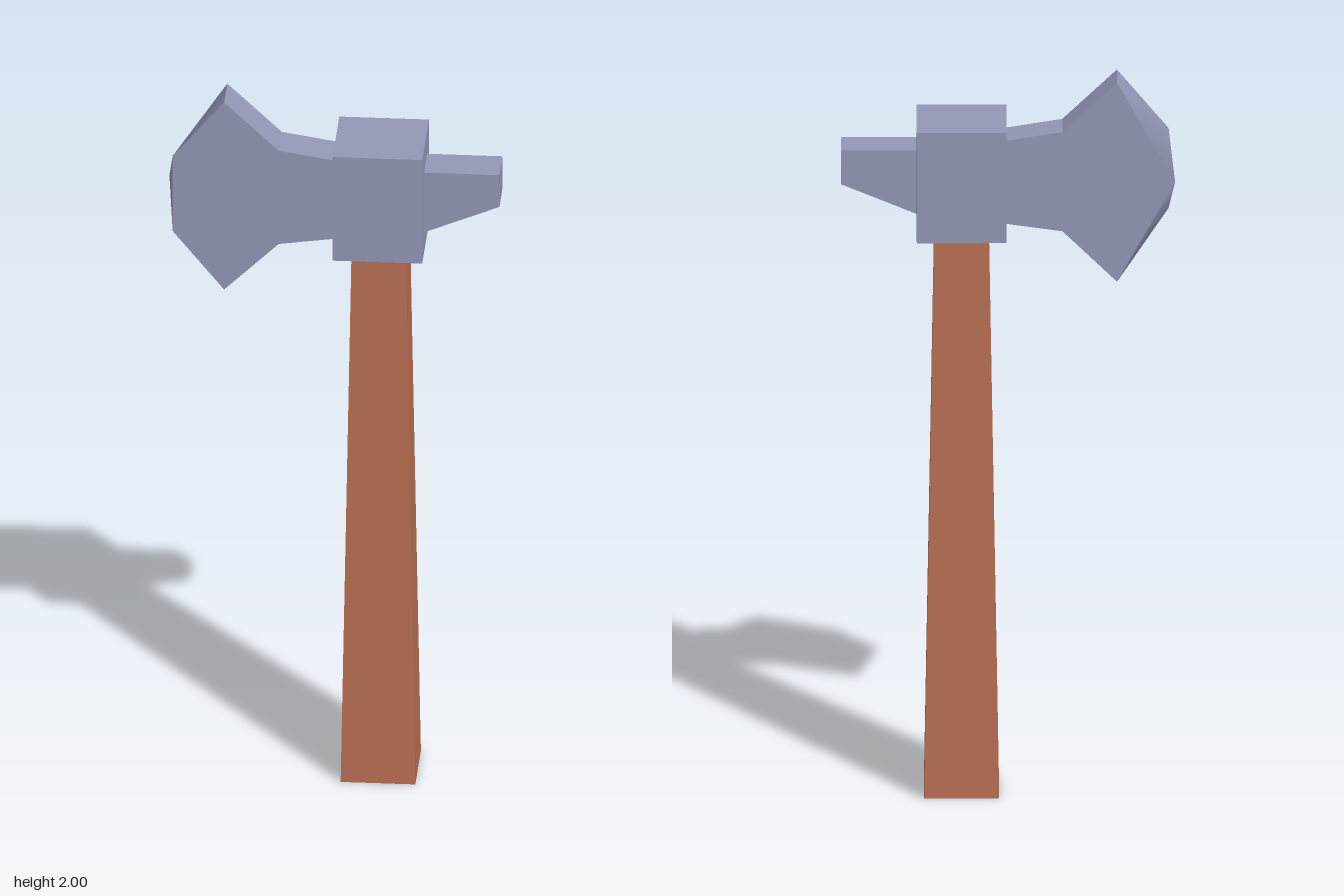
import * as THREE from 'three';

const HALF = 0.056; // half thickness of blade and spike
const CENTRE = 0.123; // x of the handle axis

const steel = new THREE.MeshStandardMaterial({ name: 'steel', color: 0x9297b5 });
const wood = new THREE.MeshStandardMaterial({ name: 'wood', color: 0xb97053 });

function part(name, geometry, material) {
  const mesh = new THREE.Mesh(geometry, material);
  mesh.name = name;
  return mesh;
}

const outline = (points) => new THREE.Shape(points.map(([x, y]) => new THREE.Vector2(x, y)));

// Flat-sided slab, centred on z = 0
function slab(points) {
  const geometry = new THREE.ExtrudeGeometry(outline(points), { depth: HALF * 2, bevelEnabled: false });
  return geometry.translate(0, 0, -HALF);
}

export function createModel() {
  const model = new THREE.Group();
  model.name = 'axe';

  // Square handle, narrowing toward the head
  const handle = new THREE.BoxGeometry(0.2, 1.57, 0.2);
  const pos = handle.attributes.position;
  for (let i = 0; i < pos.count; i++) {
    if (pos.getY(i) > 0) {
      pos.setX(i, pos.getX(i) * 0.73);
      pos.setZ(i, pos.getZ(i) * 0.73);
    }
  }
  const flatHandle = handle.toNonIndexed();
  flatHandle.computeVertexNormals();
  flatHandle.translate(CENTRE, 0.785, 0);
  model.add(part('handle', flatHandle, wood));

  // Block that holds the head on the handle
  const block = new THREE.BoxGeometry(0.24, 0.31, 0.24).translate(CENTRE, 1.725, 0);
  model.add(part('headBlock', block, steel));

  // Tapered spike behind the block
  model.add(part('spike', slab([[0.24, 1.63], [0.445, 1.715], [0.445, 1.81], [0.24, 1.81]]), steel));

  // Flaring neck of the blade
  const top = [-0.292, 2];
  const bottom = [-0.292, 1.44];
  const neck = [[0.01, 1.836], [-0.146, 1.861], top, bottom, [-0.146, 1.582], [0.01, 1.604]];
  model.add(part('bladeNeck', slab(neck), steel));

  // Cheeks: blunt at the front, pointed at the back
  const upper = [-0.43, 1.835];
  const lower = [-0.43, 1.61];
  const tip = [-0.447, 1.72];
  const frontCheek = new THREE.ShapeGeometry(outline([top, upper, lower, bottom])).translate(0, 0, HALF);
  const mirrored = [top, tip, bottom].map(([x, y]) => [-x, y]);
  const backCheek = new THREE.ShapeGeometry(outline(mirrored)).rotateY(Math.PI).translate(0, 0, -HALF);
  model.add(part('bladeFrontCheek', frontCheek, steel));
  model.add(part('bladeBackCheek', backCheek, steel));

  // Smooth cutting edge joining the two cheeks
  const edge = new THREE.BufferGeometry();
  edge.setAttribute('position', new THREE.Float32BufferAttribute([
    ...top, HALF, ...top, -HALF, ...upper, HALF, ...tip, -HALF,
    ...lower, HALF, ...bottom, HALF, ...bottom, -HALF,
  ], 3));
  edge.setIndex([0, 1, 2, 1, 3, 2, 2, 3, 4, 4, 3, 6, 4, 6, 5]);
  edge.computeVertexNormals();
  model.add(part('cuttingEdge', edge, steel));

  return model;
}
